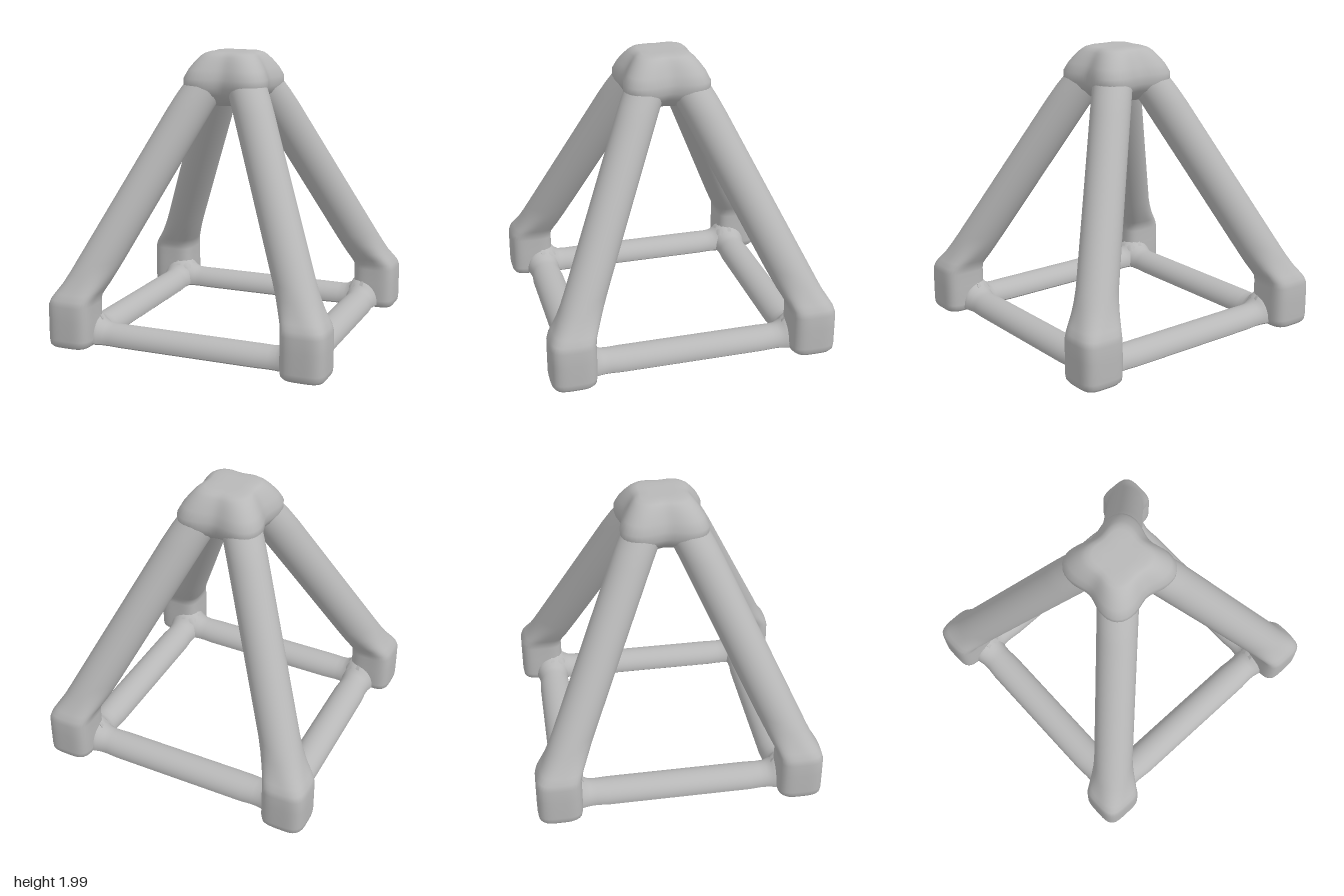
import * as THREE from 'three';
import { toCreasedNormals } from 'three/addons/utils/BufferGeometryUtils.js';

// Skins a list of equal-length rings (counter-clockwise about the direction of travel) and caps both ends.
function loft(rings) {
  const n = rings[0].length, m = rings.length, pos = [], index = [];
  rings.forEach(ring => ring.forEach(p => pos.push(p.x, p.y, p.z)));
  for (const ring of [rings[0], rings[m - 1]]) {
    const c = ring.reduce((s, p) => s.add(p), new THREE.Vector3()).divideScalar(n);
    pos.push(c.x, c.y, c.z);
  }
  for (let j = 0; j < n; j++) {
    const k = (j + 1) % n, top = (m - 1) * n;
    for (let i = 0; i < m - 1; i++) {
      const a = i * n + j, b = i * n + k;
      index.push(a, b, b + n, a, b + n, a + n);
    }
    index.push(m * n, k, j, m * n + 1, top + j, top + k);
  }
  const g = new THREE.BufferGeometry();
  g.setAttribute('position', new THREE.Float32BufferAttribute(pos, 3));
  g.setIndex(index);
  g.computeVertexNormals();
  return g;
}

// Ring of points from a function of the angle.
const ring = (point, n = 48) =>
  Array.from({ length: n }, (_, j) => point((j / n) * Math.PI * 2));

// Horizontal leg section centred on (c, y, c): a rounded square or circle, stretched along the diagonal.
const legSection = ([y, h, c, power, stretch]) => ring(t => {
  const x = Math.cos(t), z = -Math.sin(t);
  const r = h / Math.pow(Math.abs(x) ** power + Math.abs(z) ** power, 1 / power);
  const along = (stretch - 1) * r * (x + z) / 2;
  return new THREE.Vector3(c + r * x + along, y, c + r * z + along);
});

// Horizontal hub section: a four-pointed star with soft hollows between the legs.
const hubSection = ([y, h, star]) => ring(t => {
  const r = h * (1 + star * Math.sin(2 * t) ** 2);
  return new THREE.Vector3(r * Math.cos(t), y, -r * Math.sin(t));
}, 72);

// Rail section: domed top, chamfered flat underside.
const railSection = (x, halfWidth, rise) => ring(t => {
  const s = Math.sin(t);
  const y = s > 0 ? 0.045 + rise * s : 0.045 + Math.max(s * 0.09, -0.027);
  const w = s < -0.25 ? 0.9 : 1;
  return new THREE.Vector3(x, y, 0.765 - halfWidth * w * Math.cos(t));
}, 40);

export function createModel() {
  const model = new THREE.Group();
  model.name = 'pyramidFrame';
  const grey = new THREE.MeshStandardMaterial({ color: 0xb8b8b8 });
  grey.name = 'grey';

  // Hub webbing the four legs together
  const hub = new THREE.Mesh(loft([
    [1.605, 0.06, 0.3], [1.614, 0.115, 0.4], [1.65, 0.185, 0.4], [1.7, 0.243, 0.4],
    [1.75, 0.268, 0.4], [1.81, 0.268, 0.4], [1.87, 0.245, 0.38], [1.92, 0.218, 0.34],
    [1.955, 0.196, 0.3], [1.977, 0.174, 0.27], [1.988, 0.145, 0.25], [1.99, 0.09, 0.2],
  ].map(hubSection)), grey);
  hub.name = 'apexHub';
  model.add(hub);

  // Leg with its block-like foot, swelling from a round bar to a rounded square
  const legGeometry = loft([
    [0, 0.1, 0.85, 4, 1], [0.006, 0.135, 0.847, 4, 1], [0.025, 0.152, 0.844, 4, 1],
    [0.06, 0.157, 0.843, 4, 1], [0.2, 0.157, 0.843, 4, 1], [0.3, 0.156, 0.843, 4, 1],
    [0.34, 0.153, 0.835, 3.7, 1], [0.38, 0.149, 0.813, 3.2, 1.03], [0.43, 0.145, 0.783, 2.6, 1.08],
    [0.5, 0.141, 0.748, 2.2, 1.15], [0.58, 0.139, 0.71, 2, 1.2], [1.1, 0.138, 0.468, 2, 1.2],
    [1.6, 0.138, 0.235, 2, 1.2], [1.7, 0.138, 0.185, 2, 1.2], [1.8, 0.137, 0.132, 2, 1.18],
    [1.88, 0.135, 0.09, 2, 1.15], [1.93, 0.132, 0.065, 2, 1.1], [1.965, 0.12, 0.05, 2, 1],
    [1.98, 0.09, 0.045, 2, 1],
  ].map(legSection));

  // Base rail with ends that neck in, then flare into the feet
  const ends = [[0.78, 0.13, 0.2], [0.7, 0.128, 0.17], [0.67, 0.12, 0.13], [0.63, 0.111, 0.108],
    [0.58, 0.109, 0.104], [0.5, 0.116, 0.104]];
  const railGeometry = toCreasedNormals(loft([
    ...ends.map(([x, w, r]) => railSection(-x, w, r)),
    ...ends.slice().reverse().map(([x, w, r]) => railSection(x, w, r)),
  ]), 0.7);

  const legNames = ['frontLeft', 'backLeft', 'backRight', 'frontRight'];
  const railNames = ['front', 'left', 'back', 'right'];
  for (let i = 0; i < 4; i++) {
    for (const [geometry, name] of [
      [legGeometry, legNames[i] + 'Leg'],
      [railGeometry, railNames[i] + 'BaseRail'],
    ]) {
      const mesh = new THREE.Mesh(geometry, grey);
      mesh.name = name;
      mesh.rotation.y = i * Math.PI / 2;
      model.add(mesh);
    }
  }
  return model;
}
